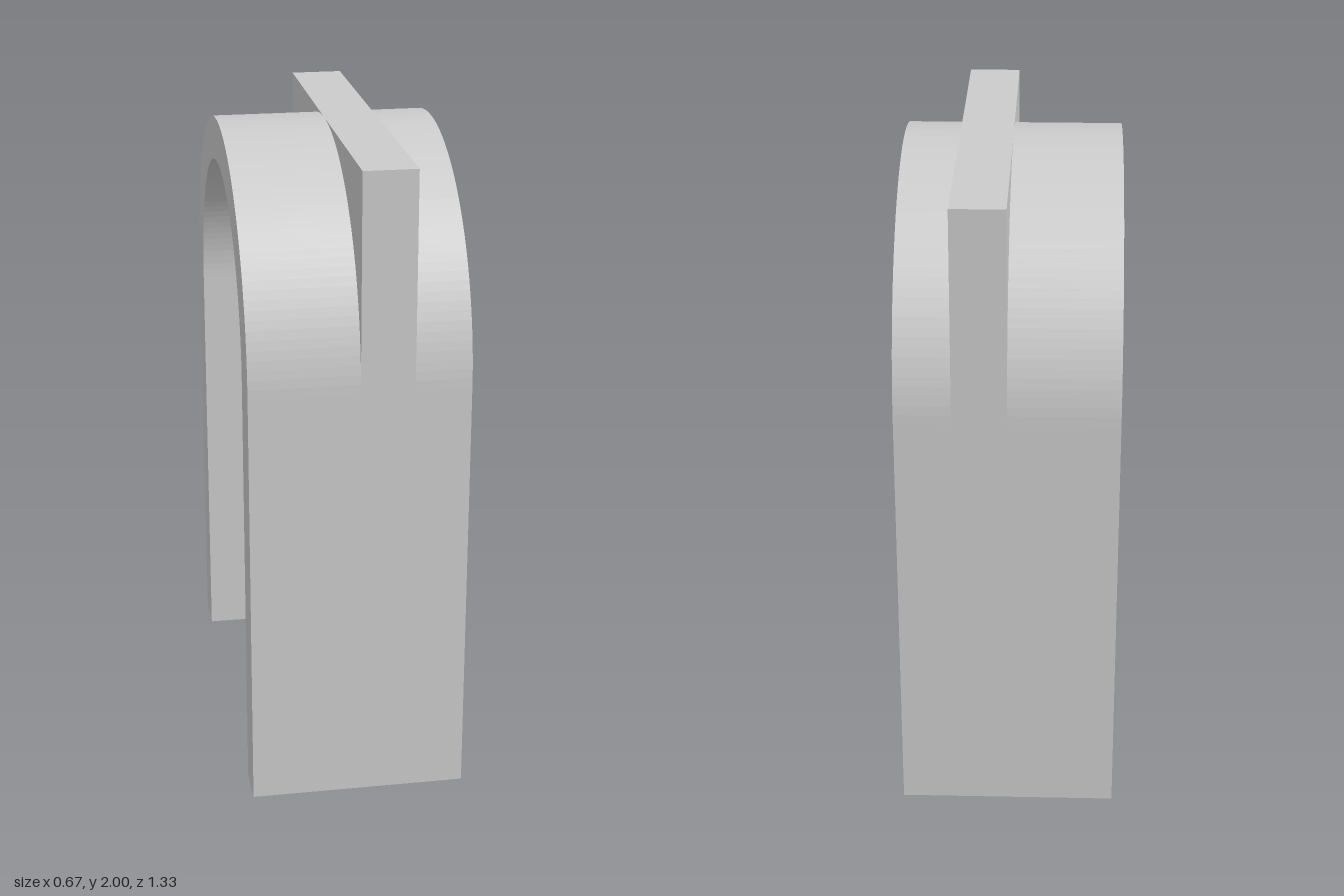
import * as THREE from 'three';

const OUTER = 0.667, INNER = 0.533, SPRING = 1.333, HALF_WIDTH = 0.333;
const SEGMENTS = 36;

const material = new THREE.MeshStandardMaterial({ color: 0xcccccc });

// Extrude a profile drawn in the (z, y) plane from x0 to x1.
function extrudeAcross(name, shape, x0, x1, curveSegments) {
  const geometry = new THREE.ExtrudeGeometry(shape, { depth: x1 - x0, bevelEnabled: false, curveSegments });
  geometry.rotateY(Math.PI / 2);
  geometry.translate(x0, 0, 0);
  const mesh = new THREE.Mesh(geometry, material);
  mesh.name = name;
  return mesh;
}

export function createModel() {
  const group = new THREE.Group();
  group.name = 'archway';

  // Round arch on two straight legs
  const arch = new THREE.Shape();
  arch.moveTo(OUTER, 0);
  arch.lineTo(OUTER, SPRING);
  arch.absarc(0, SPRING, OUTER, 0, Math.PI, false);
  arch.lineTo(-OUTER, 0);
  arch.lineTo(-INNER, 0);
  arch.lineTo(-INNER, SPRING);
  arch.absarc(0, SPRING, INNER, Math.PI, 0, true);
  arch.lineTo(INNER, 0);
  arch.closePath();
  group.add(extrudeAcross('arch', arch, -HALF_WIDTH, HALF_WIDTH, SEGMENTS));

  // Off-centre rib filling both corners above the arch up to a flat top
  for (const side of [1, -1]) {
    const corner = new THREE.Shape();
    corner.moveTo(0, SPRING + OUTER);
    corner.absarc(0, SPRING, OUTER, Math.PI / 2, side > 0 ? 0 : Math.PI, side > 0);
    corner.lineTo(side * OUTER, SPRING + OUTER);
    corner.closePath();
    group.add(extrudeAcross(side > 0 ? 'backRib' : 'frontRib', corner, 0, 0.163, SEGMENTS / 2));
  }

  return group;
}
